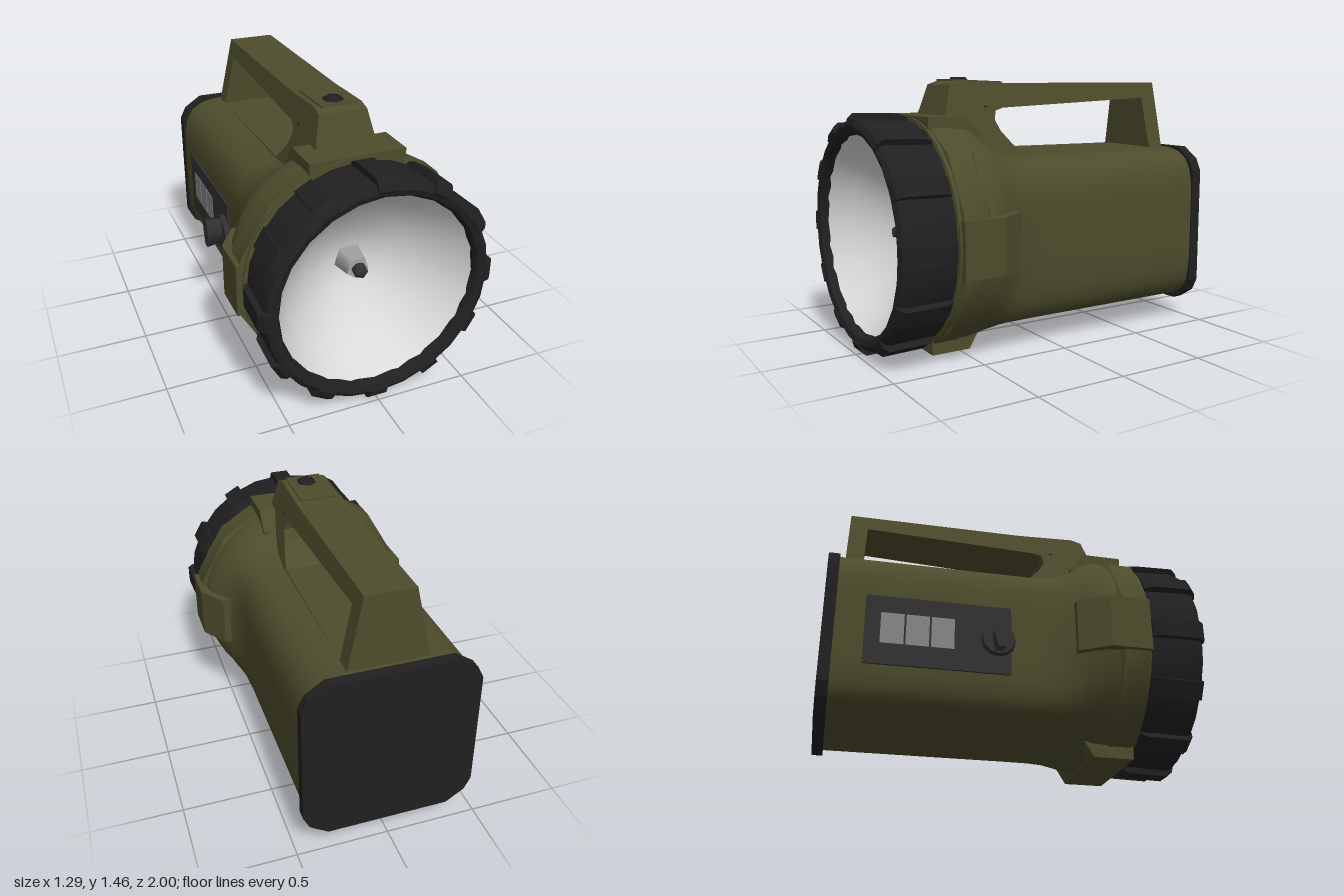
import * as THREE from 'three';
import { toCreasedNormals } from 'three/addons/utils/BufferGeometryUtils.js';

const CY = 0.64; // height of the lamp axis

export function createModel() {
  const root = new THREE.Group();
  root.name = 'handLantern';
  const paint = (name, color, side = THREE.FrontSide) => {
    const m = new THREE.MeshStandardMaterial({ color, side });
    m.name = name;
    return m;
  };
  const olive = paint('olive', 0x4d4c2c);
  const black = paint('black', 0x202021);
  const charcoal = paint('charcoal', 0x323233);
  const grey = paint('windowGrey', 0x858585);
  const silver = paint('silver', 0xdadada, THREE.DoubleSide);
  const bulbGrey = paint('bulbGrey', 0xa5a5a5);

  const add = (name, geo, mat, x = 0, y = 0, z = 0, parent = root) => {
    const m = new THREE.Mesh(geo, mat);
    m.name = name;
    m.position.set(x, y, z);
    parent.add(m);
    return m;
  };
  const poly = (pts, Type = THREE.Shape) => new Type(pts.map(p => new THREE.Vector2(...p)));
  // side profile given as (z, y), extruded along x and centred
  const sideExtrude = (shape, width) =>
    new THREE.ExtrudeGeometry(shape, { depth: width, bevelEnabled: false })
      .translate(0, 0, -width / 2).rotateY(-Math.PI / 2);
  // profile given as (radius, z), turned around the lamp axis
  const turn = (pts, segs) => toCreasedNormals(
    new THREE.LatheGeometry(pts.map(p => new THREE.Vector2(...p)), segs).rotateX(Math.PI / 2), 0.6);

  // Body: rounded square at the back flowing into a round bell
  const sections = [[-0.95, 0], [-0.4, 0], [0.12, 0], [0.25, 0.12], [0.32, 0.36],
    [0.38, 0.66], [0.45, 0.95], [0.5, 1], [0.69, 1]];
  const N = 48, pos = [], idx = [];
  sections.forEach(([z, t], i) => {
    for (let j = 0; j <= N; j++) {
      const a = j / N * Math.PI * 2, c = Math.cos(a), s = Math.sin(a);
      const square = 0.457 / Math.pow(Math.abs(c) ** 5 + Math.abs(s) ** 5, 0.2);
      const r = THREE.MathUtils.lerp(square, 0.615, t);
      pos.push(r * c, THREE.MathUtils.lerp(0.585, CY, t) + r * s, z);
      if (i < sections.length - 1 && j < N) {
        const p = i * (N + 1) + j, q = p + N + 1;
        idx.push(p, p + 1, q, p + 1, q + 1, q);
      }
    }
  });
  const bodyGeo = new THREE.BufferGeometry();
  bodyGeo.setAttribute('position', new THREE.Float32BufferAttribute(pos, 3));
  bodyGeo.setIndex(idx);
  add('body', toCreasedNormals(bodyGeo, 0.7), olive);

  // Twelve-sided collar behind the bezel
  add('collar', turn([[0.6, 0.5], [0.64, 0.54], [0.64, 0.67], [0.56, 0.69]], 12)
    .rotateZ(Math.PI / 12), olive, 0, CY);

  // Lugs on the four sides of the bell: [angle, start z, outer radius, width]
  for (const [angle, z0, r, w] of [[0, 0.38, 0.62, 0.52], [Math.PI / 2, 0.31, 0.645, 0.29],
    [-Math.PI / 2, 0.31, 0.645, 0.29], [Math.PI, 0.4, 0.622, 0.54]]) {
    const lug = poly([[z0, 0.45], [0.68, 0.45], [0.68, r], [0.46, r], [z0, r - 0.1]]);
    add('lug', sideExtrude(lug, w), olive, 0, CY).rotation.z = angle;
  }

  // Back cap with chamfered corners
  const h = 0.465, k = 0.33;
  const cap = poly([[h, -k], [h, k], [0.43, 0.4], [k, h], [-k, h], [-0.43, 0.4], [-h, k],
    [-h, -k], [-0.43, -0.4], [-k, -h], [k, -h], [0.43, -0.4]]);
  add('backCap', new THREE.ExtrudeGeometry(cap, { depth: 0.06, bevelEnabled: false }),
    black, 0, 0.58, -1);

  // Bezel ring and its ribs
  add('bezel', turn([[0.5, 0.69], [0.6, 0.695], [0.61, 0.95], [0.6, 0.98], [0.575, 0.995],
    [0.545, 0.985], [0.53, 0.96], [0.53, 0.9]], 24), black, 0, CY);
  const rib = poly([[0.7, 0.55], [0.98, 0.55], [1, 0.575], [0.99, 0.61], [0.96, 0.636],
    [0.74, 0.63], [0.7, 0.61]]);
  const ribGeo = sideExtrude(rib, 0.1);
  for (let i = 0; i < 12; i++) add('bezelRib', ribGeo, black, 0, CY).rotation.z = i * Math.PI / 6;

  // Reflector bowl and bulb
  add('reflector', turn([[0.535, 0.95], [0.44, 0.82], [0.3, 0.7], [0.16, 0.62], [0, 0.57]], 32),
    silver, 0, CY);
  add('bulbHolder', new THREE.CylinderGeometry(0.065, 0.085, 0.12, 5).rotateX(Math.PI / 2),
    bulbGrey, 0, CY, 0.65);
  add('bulb', new THREE.IcosahedronGeometry(0.042, 0).scale(1, 1, 1.3), charcoal, 0, CY, 0.73);

  // Carrying handle, wider towards its feet
  const grip = poly([[0.55, 1.0], [0.54, 1.25], [0.49, 1.42], [0.43, 1.44], [0.1, 1.425],
    [-0.9, 1.425], [-0.915, 1.0]]);
  grip.holes.push(poly([[0.1, 1.05], [0.21, 1.17], [0.24, 1.23], [0.23, 1.28], [0.18, 1.295],
    [-0.8, 1.335], [-0.815, 1.04]], THREE.Path));
  const gripGeo = sideExtrude(grip, 2);
  const gp = gripGeo.attributes.position;
  for (let i = 0; i < gp.count; i++) {
    const y = gp.getY(i);
    gp.setX(i, gp.getX(i) * THREE.MathUtils.mapLinear(y, 1.03, 1.43, 0.215, 0.13));
  }
  gripGeo.computeVertexNormals();
  add('handle', gripGeo, olive);
  add('fingerPad', new THREE.SphereGeometry(1, 12, 8).scale(0.165, 0.026, 0.085), black, 0, 1.302, 0.29);
  add('switchPlate', new THREE.BoxGeometry(0.2, 0.009, 0.3), olive, 0, 1.437, 0.3)
    .rotation.x = -0.04;
  add('topSwitch', new THREE.CylinderGeometry(0.045, 0.065, 0.025, 6), black, 0, 1.447, 0.37);

  // Control panel on the right side
  const panel = new THREE.Group();
  panel.name = 'controlPanel';
  panel.position.set(-0.46, 0.55, 0);
  root.add(panel);
  add('panelPlate', new THREE.BoxGeometry(0.012, 0.38, 0.76), charcoal, 0, 0, -0.41, panel);
  for (let i = 0; i < 3; i++) {
    add('panelWindow', new THREE.BoxGeometry(0.008, 0.17, 0.12), grey, -0.005, 0.01, -0.65 + i * 0.13, panel);
  }
  add('knobBase', new THREE.CylinderGeometry(0.085, 0.095, 0.03, 12).rotateZ(Math.PI / 2),
    charcoal, -0.015, 0, -0.1, panel);
  add('knobGrip', new THREE.CylinderGeometry(0.1, 0.08, 0.1, 6).scale(1, 1, 0.45).rotateZ(Math.PI / 2),
    charcoal, -0.07, 0, -0.1, panel);

  return root;
}
